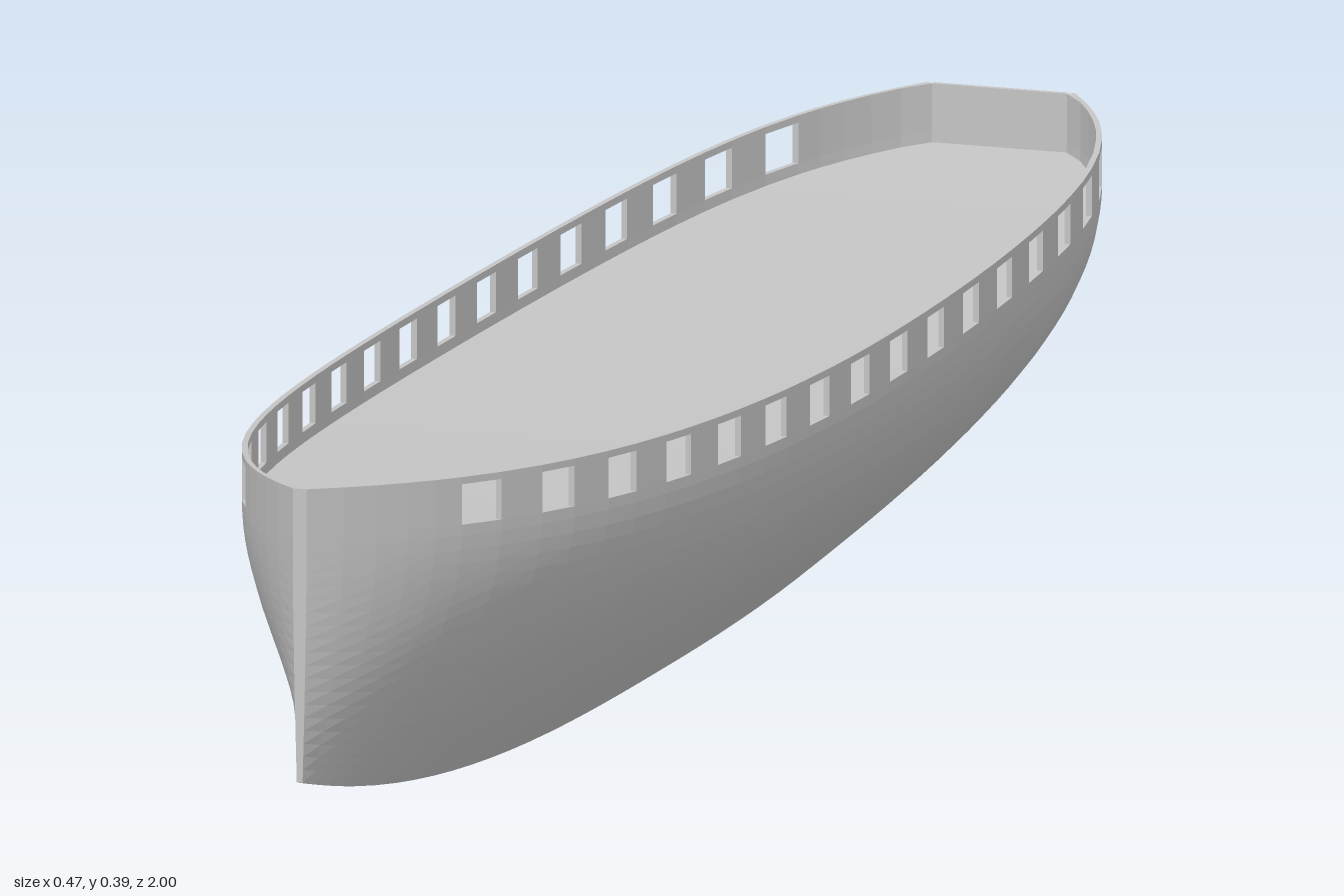
import * as THREE from 'three';

const WALL = 0.006;          // bulwark thickness
const DECK_DROP = 0.058;     // deck below the rail
const PORT_LOW = 0.047, PORT_HIGH = 0.007;
const PORTS = 16, PORT_HALF = 0.0255, PORT_END = 0.82;

// Hull lines as functions of length
const rail = z => 0.347 + (z > 0 ? 0.043 : 0.025) * z * z;
const keel = z => 0.1 * Math.abs(z) ** 2.6;
const beam = z => 0.235 * (z > 0
  ? 1 - 0.43 * z ** 2 - 0.32 * z ** 4 - 0.22 * z ** 8
  : 1 - 0.27 * z ** 2 - 0.1 * z ** 4 - 0.31 * z ** 8);
function halfWidth(z, y) {
  const t = (y - keel(z)) / (rail(z) - keel(z));
  const f = Math.sin(Math.min(t / 0.85, 1) * Math.PI / 2);
  return 0.003 + (beam(z) - 0.003) * f;
}

// Stations along the hull; port marks the bay between a station and the next
function makeStations() {
  const list = [];
  for (let i = 0; i < 5; i++) list.push({ z: -1 + i * (1 - PORT_END - PORT_HALF) / 5 });
  for (let i = 0; i < PORTS; i++) {
    const c = -PORT_END + i * 2 * PORT_END / (PORTS - 1);
    list.push({ z: c - PORT_HALF, port: true }, { z: c + PORT_HALF });
  }
  for (let i = 1; i <= 5; i++) list.push({ z: PORT_END + PORT_HALF + i * (1 - PORT_END - PORT_HALF) / 5 });
  return list;
}

// Collects flat quads for both mirrored sides of one part
class Part {
  constructor(name) { this.name = name; this.data = []; }
  quad(s, a, b, c, d) {
    const order = s > 0 ? [a, b, c, a, c, d] : [a, c, b, a, d, c];
    for (const p of order) this.data.push(p[0] * s, p[1], p[2]);
  }
  mesh(material) {
    const g = new THREE.BufferGeometry();
    g.setAttribute('position', new THREE.Float32BufferAttribute(this.data, 3));
    g.computeVertexNormals();
    const m = new THREE.Mesh(g, material);
    m.name = this.name;
    return m;
  }
}

export function createModel() {
  const group = new THREE.Group();
  group.name = 'shipHull';
  const grey = new THREE.MeshStandardMaterial({ color: 0xc4c4c4 });
  grey.name = 'hull grey';

  const planking = new Part('hullPlanking'), inside = new Part('bulwarkInside');
  const deck = new Part('deck'), railCap = new Part('railCap');
  const reveals = new Part('portFrames'), transom = new Part('transom');
  const stem = new Part('stem'), keelStrip = new Part('keel');
  const stations = makeStations();

  // Row heights: lower hull up to the deck, then port sill, port head and rail
  const LOWER = 18, PORT_ROW = LOWER + 1, TOP = LOWER + 3;
  const rowY = (z, j) => {
    if (j > LOWER) return rail(z) - [PORT_LOW, PORT_HIGH, 0][j - LOWER - 1];
    return keel(z) + (rail(z) - DECK_DROP - keel(z)) * j / LOWER;
  };
  const out = (z, j) => [halfWidth(z, rowY(z, j)), rowY(z, j), z];
  const inn = (z, j) => {
    const [x, y] = out(z, j);
    return [Math.max(0, x - WALL), y, Math.max(z, -1 + WALL)];
  };
  const mid = p => [0, p[1], p[2]];

  for (const s of [1, -1]) {
    for (let i = 0; i < stations.length - 1; i++) {
      const a = stations[i].z, b = stations[i + 1].z, port = stations[i].port;
      for (let j = 0; j < TOP; j++) {
        if (port && j === PORT_ROW) continue;
        planking.quad(s, out(b, j), out(a, j), out(a, j + 1), out(b, j + 1));
        if (j >= LOWER) inside.quad(s, inn(a, j), inn(b, j), inn(b, j + 1), inn(a, j + 1));
      }
      // Sides of each opening
      if (port) {
        const l = PORT_ROW, h = l + 1;
        reveals.quad(s, inn(a, l), inn(b, l), out(b, l), out(a, l));
        reveals.quad(s, out(a, h), out(b, h), inn(b, h), inn(a, h));
        reveals.quad(s, inn(a, l), out(a, l), out(a, h), inn(a, h));
        reveals.quad(s, inn(b, h), out(b, h), out(b, l), inn(b, l));
      }
      railCap.quad(s, inn(a, TOP), inn(b, TOP), out(b, TOP), out(a, TOP));
      deck.quad(s, mid(inn(a, LOWER)), mid(inn(b, LOWER)), inn(b, LOWER), inn(a, LOWER));
      keelStrip.quad(s, mid(out(b, 0)), mid(out(a, 0)), out(a, 0), out(b, 0));
    }
    // Flat ends: stern transom and narrow stem
    for (let j = 0; j < TOP; j++) {
      const o = out(-1, j), p = out(-1, j + 1), q = out(1, j), r = out(1, j + 1);
      transom.quad(s, o, mid(o), mid(p), p);
      stem.quad(s, mid(q), q, r, mid(r));
      if (j >= LOWER) {
        const u = inn(-1, j), v = inn(-1, j + 1);
        transom.quad(s, mid(u), u, v, mid(v));
      }
    }
    const o = out(-1, TOP), u = inn(-1, TOP);
    railCap.quad(s, mid(o), mid(u), u, [u[0], o[1], o[2]]);
  }

  for (const part of [planking, inside, deck, railCap, reveals, transom, stem, keelStrip]) {
    group.add(part.mesh(grey));
  }
  return group;
}
